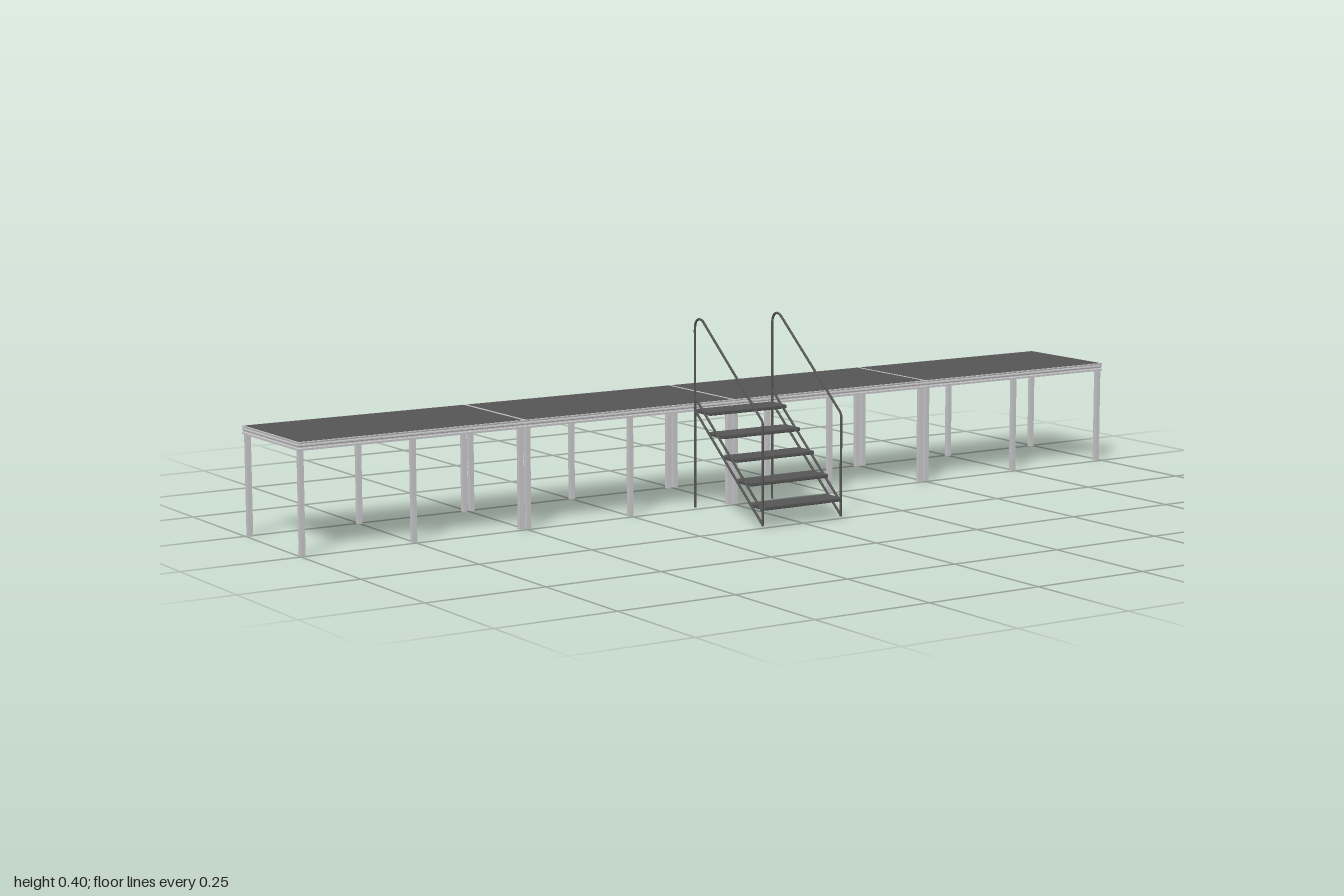
import * as THREE from 'three';
import { RoundedBoxGeometry } from 'three/addons/geometries/RoundedBoxGeometry.js';

const aluminium = new THREE.MeshStandardMaterial({ color: 0xc6c6c8 });
aluminium.name = 'light grey metal';
const darkGrey = new THREE.MeshStandardMaterial({ color: 0x555555 });
darkGrey.name = 'dark grey';

const FRONT = -0.004, BACK = -0.254, MODULE = 0.5, MID = (FRONT + BACK) / 2;

function add(parent, name, geometry, material, x = 0, y = 0, z = 0) {
  const mesh = new THREE.Mesh(geometry, material);
  mesh.name = name;
  mesh.position.set(x, y, z);
  parent.add(mesh);
  return mesh;
}

// Sweeps a closed profile of [inset, y] points round a rectangle with mitred corners
function frameGeometry(width, depth, profile) {
  const corners = [[1, 1], [1, -1], [-1, -1], [-1, 1]];
  const at = (c, [inset, y]) => [c[0] * (width / 2 - inset), y, c[1] * (depth / 2 - inset)];
  const positions = [];
  corners.forEach((c, i) => {
    const d = corners[(i + 1) % 4];
    profile.forEach((p, j) => {
      const q = profile[(j + 1) % profile.length];
      positions.push(...at(c, p), ...at(d, p), ...at(d, q));
      positions.push(...at(c, p), ...at(d, q), ...at(c, q));
    });
  });
  const geometry = new THREE.BufferGeometry();
  geometry.setAttribute('position', new THREE.Float32BufferAttribute(positions, 3));
  geometry.computeVertexNormals();
  return geometry;
}

// One deck section: grooved frame, inset board and six legs
function deckModule(index) {
  const group = new THREE.Group();
  group.name = 'deckModule' + (index + 1);
  const depth = FRONT - BACK, width = MODULE - 0.001;
  const profile = [
    [0, 0.205], [0, 0.209], [0.0015, 0.2105], [0.0015, 0.2125], [0, 0.214],
    [0, 0.2165], [0.001, 0.2175], [0.001, 0.219], [0, 0.22], [0, 0.222],
    [0.003, 0.222], [0.008, 0.2165], [0.008, 0.205],
  ];
  add(group, 'frame', frameGeometry(width, depth, profile), aluminium, 0, 0, MID);
  add(group, 'board', new THREE.BoxGeometry(width - 0.006, 0.0085, depth - 0.004), darkGrey, 0, 0.2177, MID)
    .scale.set(1, 1, 0.995);
  const leg = new THREE.BoxGeometry(0.01, 0.206, 0.01);
  for (const x of [-0.242, 0, 0.242])
    for (const z of [-0.0115, -0.2455]) add(group, 'leg', leg, aluminium, x, 0.103, z);
  group.position.x = (index - 1.5) * MODULE;
  return group;
}

const point = (y, z) => new THREE.Vector3(0, y, z);

// Bent handrail with its two sloping stringers
function stairSide(name, x) {
  const group = new THREE.Group();
  group.name = name;
  const path = new THREE.CurvePath();
  const line = (a, b) => path.add(new THREE.LineCurve3(a, b));
  const bend = (a, b, c) => path.add(new THREE.QuadraticBezierCurve3(a, b, c));
  line(point(0.005, 0.248), point(0.21, 0.248));
  bend(point(0.21, 0.248), point(0.217, 0.248), point(0.221, 0.242));
  line(point(0.221, 0.242), point(0.394, 0.032));
  path.add(new THREE.CubicBezierCurve3(
    point(0.394, 0.032), point(0.404, 0.02), point(0.4, 0), point(0.378, 0)));
  line(point(0.378, 0), point(0.005, 0));
  add(group, 'handrail', new THREE.TubeGeometry(path, 160, 0.0025, 8), darkGrey);
  for (const [low, high] of [[0.007, 0.208], [0.033, 0.235]]) {
    const run = new THREE.LineCurve3(point(low, 0.248), point(high, 0));
    add(group, 'stringer', new THREE.TubeGeometry(run, 1, 0.0025, 8), darkGrey);
  }
  // Caps closing the feet
  for (const z of [0, 0.248])
    add(group, 'foot', new THREE.CylinderGeometry(0.0026, 0.0026, 0.002, 8), darkGrey, 0, 0.005, z);
  group.position.x = x;
  return group;
}

export function createModel() {
  const model = new THREE.Group();
  model.name = 'stagePlatform';
  for (let i = 0; i < 4; i++) model.add(deckModule(i));

  // Stairs
  const stairs = new THREE.Group();
  stairs.name = 'stairs';
  stairs.add(stairSide('rightStairSide', -0.0965), stairSide('leftStairSide', 0.0965));
  const tread = new RoundedBoxGeometry(0.192, 0.008, 0.056, 1, 0.002);
  for (let i = 0; i < 5; i++)
    add(stairs, 'tread', tread, darkGrey, 0, 0.04 + i * 0.0417, 0.227 - i * 0.05);
  stairs.position.x = -0.002;
  model.add(stairs);
  return model;
}
